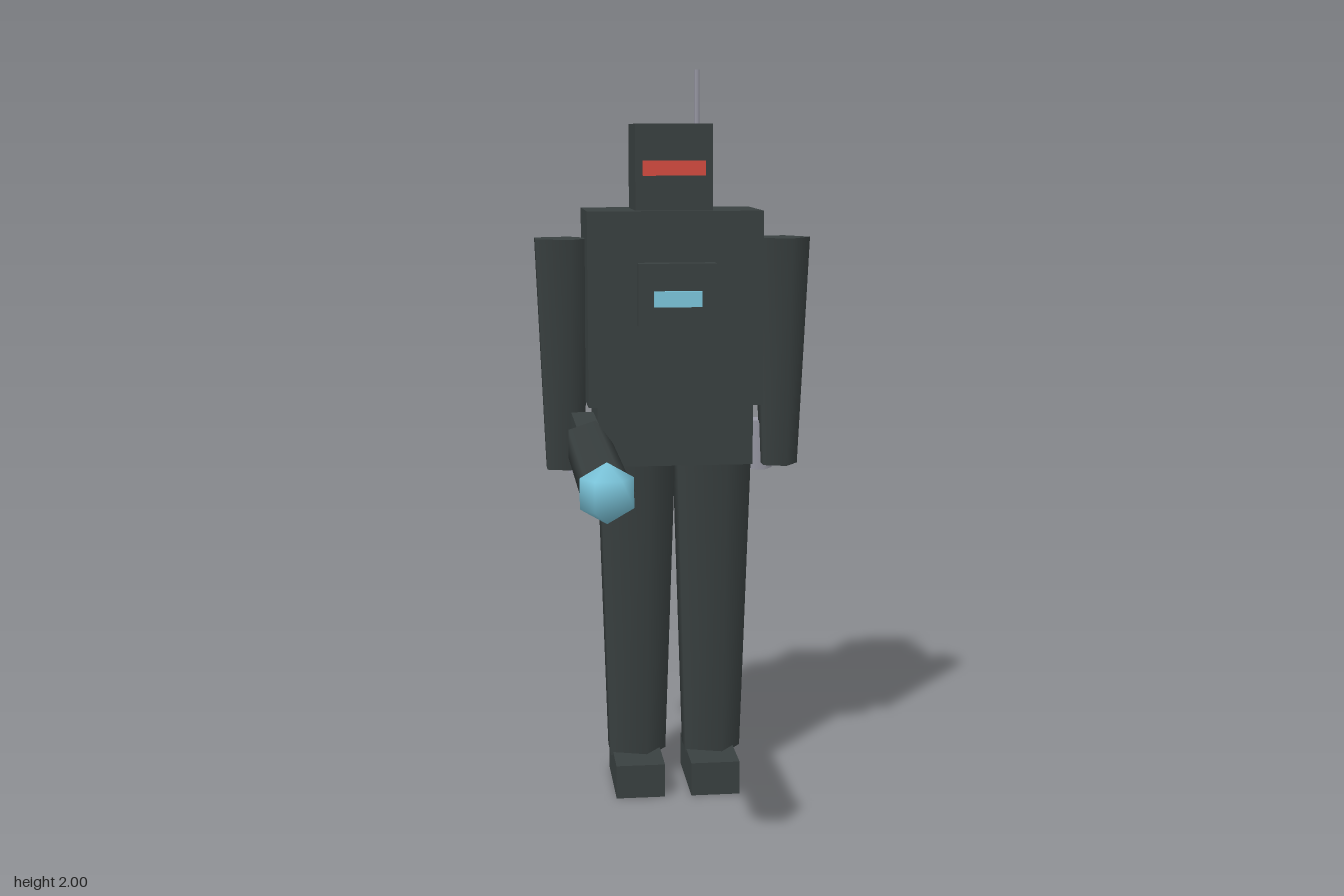
import * as THREE from 'three';

export function createModel() {
  const model = new THREE.Group();
  model.name = 'robot';

  const material = (name, color) => {
    const m = new THREE.MeshStandardMaterial({ color });
    m.name = name;
    return m;
  };
  const dark = material('dark iron', 0x394040);
  const red = material('visor red', 0xd34b40);
  const blue = material('glow blue', 0x7cc6dc);
  const grey = material('pale steel', 0x9a9aa6);

  const add = (name, geometry, mat, x, y, z) => {
    const mesh = new THREE.Mesh(geometry, mat);
    mesh.name = name;
    mesh.position.set(x, y, z);
    model.add(mesh);
    return mesh;
  };
  // Box given by its lower and upper corners
  const box = (name, mat, [x0, y0, z0], [x1, y1, z1]) =>
    add(name, new THREE.BoxGeometry(x1 - x0, y1 - y0, z1 - z0), mat,
      (x0 + x1) / 2, (y0 + y1) / 2, (z0 + z1) / 2);
  // Five-sided limb with one corner pointing to +x
  const limb = (name, mat, rTop, rBottom, y0, y1, x, z) =>
    add(name, new THREE.CylinderGeometry(rTop, rBottom, y1 - y0, 5, 1, false, Math.PI / 2),
      mat, x, (y0 + y1) / 2, z);

  // Head and body
  box('head', dark, [-0.116, 1.62, -0.575], [0.094, 1.855, -0.367]);
  box('torso', dark, [-0.249, 1.097, -0.608], [0.228, 1.625, -0.333]);
  box('pelvis', dark, [-0.225, 0.932, -0.597], [0.202, 1.097, -0.341]);
  box('chestPanel', dark, [-0.116, 1.32, -0.34], [0.095, 1.488, -0.287]);
  box('visor', red, [-0.096, 1.718, -0.367], [0.074, 1.758, -0.355]);
  box('chestLight', blue, [-0.075, 1.373, -0.287], [0.054, 1.415, -0.271]);
  limb('antenna', grey, 0.008, 0.008, 1.85, 2, 0.062, -0.468);

  // Arms, hands, legs and feet
  const sides = [
    { side: 'right', arm: -0.313, hand: -0.264, leg: -0.118, foot: -0.184 },
    { side: 'left', arm: 0.292, hand: 0.243, leg: 0.097, foot: 0.026 },
  ];
  for (const s of sides) {
    limb(s.side + 'Arm', dark, 0.087, 0.056, 0.911, 1.547, s.arm, -0.469);
    limb(s.side + 'Hand', grey, 0.041, 0.041, 0.89, 1.03, s.hand, -0.52);
    limb(s.side + 'Leg', dark, 0.119, 0.089, 0.085, 0.94, s.leg, -0.467);
    box(s.side + 'Foot', dark, [s.foot, 0, -0.562], [s.foot + 0.136, 0.094, -0.29]);
  }

  // Forward-pointing blaster with glowing tip
  box('blasterGrip', dark, [-0.293, 0.95, -0.4], [-0.232, 1.076, -0.068]);
  const barrel = limb('blasterBarrel', dark, 0.064, 0.064, 0, 0.68, -0.263, 0.208);
  barrel.rotation.x = Math.PI / 2;
  barrel.position.y = 1.033;
  add('blasterTip', new THREE.SphereGeometry(0.071, 6, 3), blue, -0.264, 1.033, 0.549);

  return model;
}
